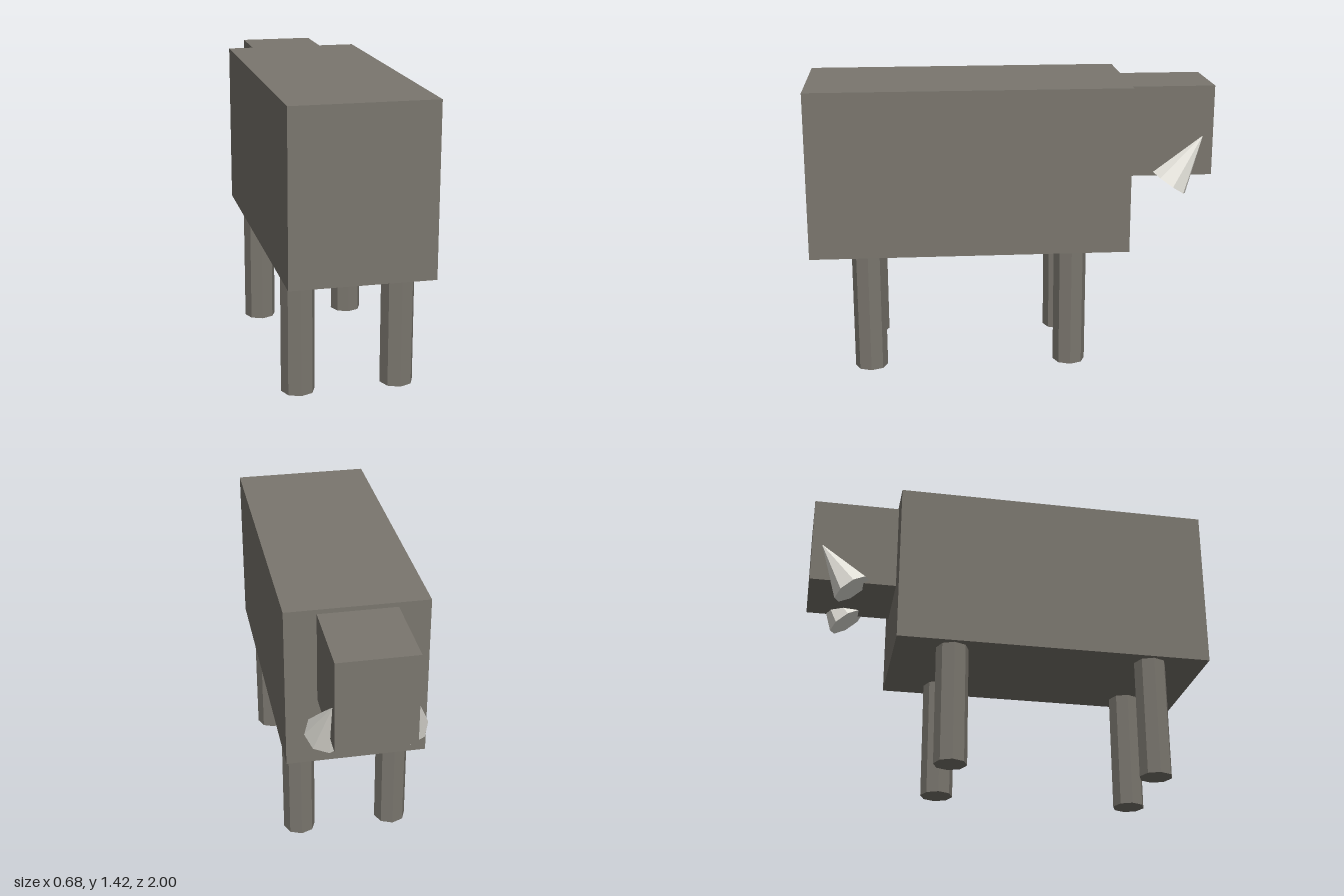
import * as THREE from 'three';

export function createModel() {
  const hide = new THREE.MeshStandardMaterial({ name: 'grey hide', color: 0x7a766e, flatShading: true });
  const ivory = new THREE.MeshStandardMaterial({ name: 'ivory', color: 0xeeece4, flatShading: true });
  const model = new THREE.Group();
  model.name = 'animal';

  const add = (name, geometry, material, x, y, z) => {
    const mesh = new THREE.Mesh(geometry, material);
    mesh.name = name;
    mesh.position.set(x, y, z);
    model.add(mesh);
    return mesh;
  };

  // Body and head blocks
  add('body', new THREE.BoxGeometry(0.68, 0.82, 1.57), hide, 0, 1.01, 0.215);
  add('head', new THREE.BoxGeometry(0.376, 0.45, 0.43), hide, 0, 1.173, -0.785);

  const legGeometry = new THREE.CylinderGeometry(0.081, 0.081, 0.602, 8);
  const tuskGeometry = new THREE.ConeGeometry(0.101, 0.29, 8);

  for (const [side, s] of [['left', 1], ['right', -1]]) {
    // Eight-sided legs
    add(side + 'FrontLeg', legGeometry, hide, s * 0.24, 0.301, 0.718);
    add(side + 'BackLeg', legGeometry, hide, s * 0.24, 0.301, -0.286);
    // Tusks, half sunk into the sides of the head
    const tusk = add(side + 'Tusk', tuskGeometry, ivory, s * 0.186, 1.03, -0.87);
    tusk.rotation.x = -0.597;
  }
  return model;
}
